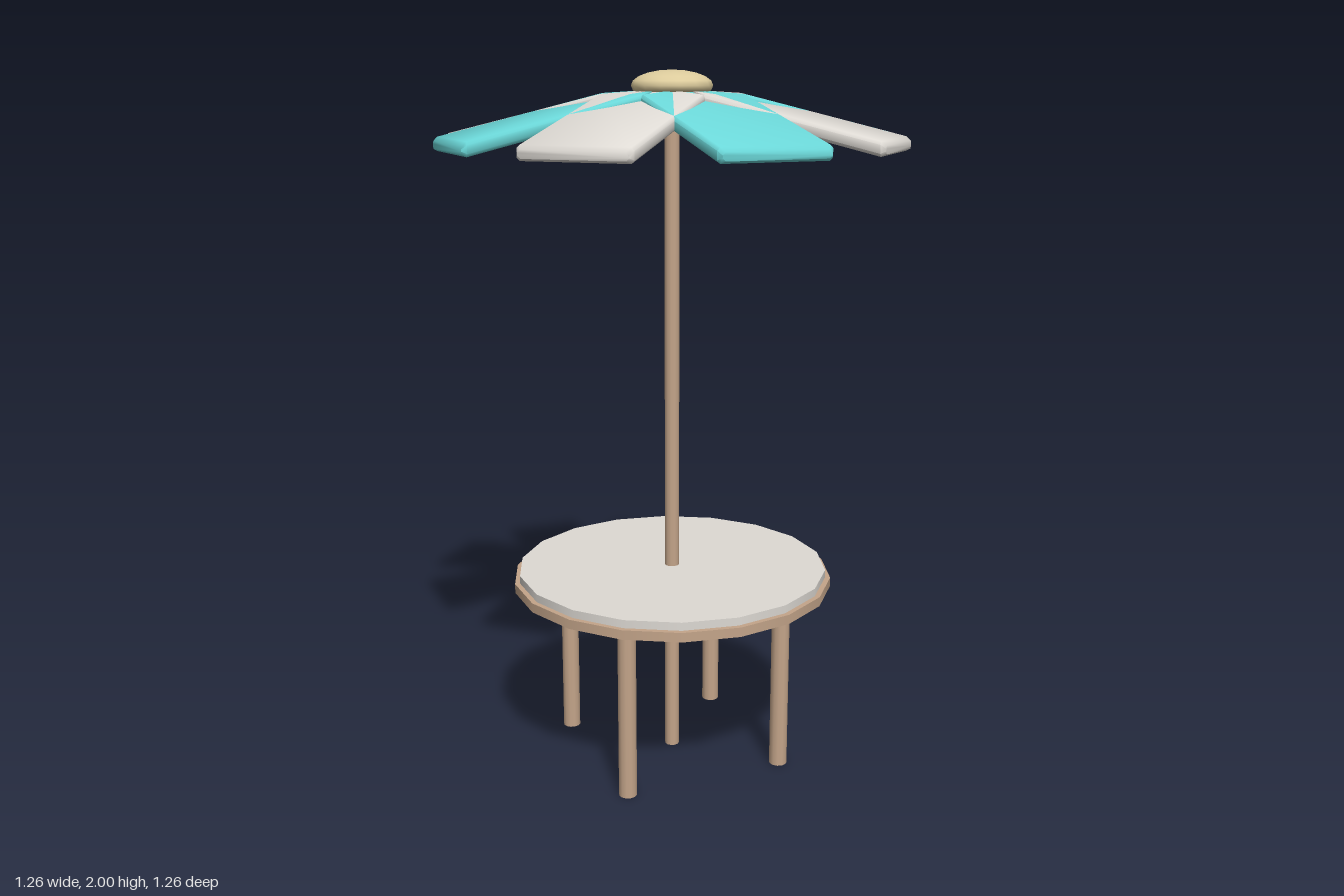
import * as THREE from 'three';
import { toCreasedNormals } from 'three/addons/utils/BufferGeometryUtils.js';

const material = (name, color) => {
  const m = new THREE.MeshStandardMaterial({ color });
  m.name = name;
  return m;
};

// Petal along +z: a chamfered slab lofted through [z, half width, top y, thickness]
function petalGeometry() {
  const stations = [
    [0.05, 0.022, 1.947, 0.032],
    [0.148, 0.153, 1.937, 0.036],
    [0.618, 0.153, 1.827, 0.038],
    [0.631, 0.145, 1.817, 0.022],
  ];
  const positions = [];
  const index = [];
  const n = 8;
  for (const [z, w, top, t] of stations) {
    const c = 0.008;
    const low = top - t;
    const ring = [
      [w, low + c], [w, top - c], [w - c, top], [c - w, top],
      [-w, top - c], [-w, low + c], [c - w, low], [w - c, low],
    ];
    for (const [x, y] of ring) positions.push(x, y, z);
  }
  const last = (stations.length - 1) * n;
  for (let s = 0; s < last; s += n) {
    for (let i = 0; i < n; i++) {
      const j = (i + 1) % n;
      index.push(s + i, s + j, s + n + i, s + j, s + n + j, s + n + i);
    }
  }
  // inner and outer end caps
  for (let i = 1; i < n - 1; i++) {
    index.push(0, i + 1, i, last, last + i, last + i + 1);
  }
  const geometry = new THREE.BufferGeometry();
  geometry.setAttribute('position', new THREE.Float32BufferAttribute(positions, 3));
  geometry.setIndex(index);
  return toCreasedNormals(geometry, 1.0);
}

export function createModel() {
  const model = new THREE.Group();
  model.name = 'parasolTable';

  const wood = material('wood', 0xc4a58a);
  const white = material('white', 0xdedad4);
  const teal = material('teal', 0x6cd9da);
  const yellow = material('paleYellow', 0xdccb9c);

  const add = (name, geometry, mat, parent = model) => {
    const mesh = new THREE.Mesh(geometry, mat);
    mesh.name = name;
    parent.add(mesh);
    return mesh;
  };

  // Upright cylinder from y0 to y1
  const post = (name, radius, y0, y1, sides, mat, x = 0, z = 0) =>
    add(name, new THREE.CylinderGeometry(radius, radius, y1 - y0, sides), mat)
      .position.set(x, (y0 + y1) / 2, z);

  // Table
  post('tableRim', 0.467, 0.53, 0.557, 18, wood);
  post('tableTop', 0.452, 0.557, 0.58, 18, white);
  for (const x of [-1, 1]) {
    for (const z of [-1, 1]) {
      post('tableLeg', 0.026, 0, 0.535, 12, wood, x * 0.24, z * 0.24);
    }
  }

  // Parasol pole
  post('pole', 0.021, 0, 1.94, 12, wood);

  // Parasol petals, alternating colours
  const canopy = new THREE.Group();
  canopy.name = 'canopy';
  model.add(canopy);
  const petal = petalGeometry();
  for (let i = 0; i < 8; i++) {
    add('petal', petal, i % 2 ? white : teal, canopy).rotation.y = i * Math.PI / 4;
  }

  // Flattened ball at the centre of the petals
  const hub = add('hub', new THREE.SphereGeometry(0.112, 14, 10), yellow);
  hub.scale.y = 0.375;
  hub.position.y = 1.958;

  return model;
}
